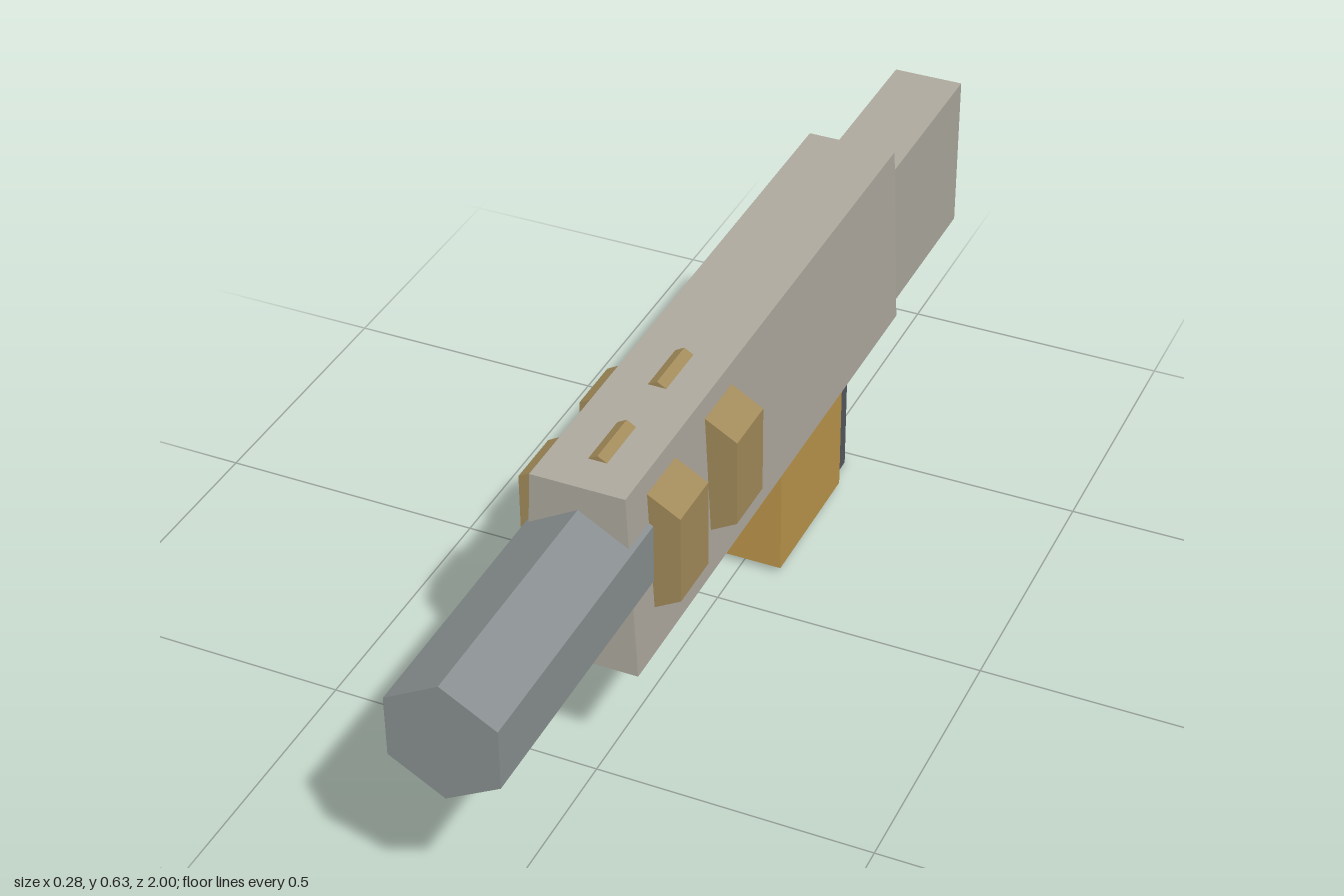
import * as THREE from 'three';

const material = (color) => new THREE.MeshStandardMaterial({ color, flatShading: true });

export function createModel() {
  const group = new THREE.Group();
  const shell = material(0xaeaa9f);
  const steel = material(0x8a9092);
  const brass = material(0xa48c5b);
  const amber = material(0xbd974c);
  const dark = material(0x565b60);

  const add = (name, geometry, mat) => {
    const mesh = new THREE.Mesh(geometry, mat);
    mesh.name = name;
    group.add(mesh);
  };

  // Box centred on x, given its y and z limits
  const box = (name, width, y0, y1, z0, z1, mat) => add(name,
    new THREE.BoxGeometry(width, y1 - y0, z1 - z0)
      .translate(0, (y0 + y1) / 2, (z0 + z1) / 2), mat);

  // Six-sided prism along z, with a corner pointing up
  const hexPrism = (name, radius, z0, z1, mat) => add(name,
    new THREE.CylinderGeometry(radius, radius, z1 - z0, 6)
      .rotateX(Math.PI / 2)
      .translate(0, 0.4625, (z0 + z1) / 2), mat);

  // Receiver: trapezoid section, slightly wider at the bottom
  const section = new THREE.Shape([
    new THREE.Vector2(-0.099, 0.266), new THREE.Vector2(0.099, 0.266),
    new THREE.Vector2(0.083, 0.617), new THREE.Vector2(-0.083, 0.617),
  ]);
  add('receiver', new THREE.ExtrudeGeometry(section, { depth: 1.14, bevelEnabled: false })
    .translate(0, 0, -0.602), shell);

  // Stock, barrel and the two bands around the receiver
  box('stock', 0.134, 0.245, 0.549, -1, -0.562, shell);
  hexPrism('barrel', 0.1095, 0.4, 1, steel);
  for (const z of [0.135, 0.357]) hexPrism('band', 0.164, z, z + 0.107, brass);

  // Magazine and the grip behind it
  box('magazine', 0.152, 0.013, 0.32, -0.39, -0.108, amber);
  box('grip', 0.11, 0, 0.32, -0.47, -0.295, dark);

  return group;
}
